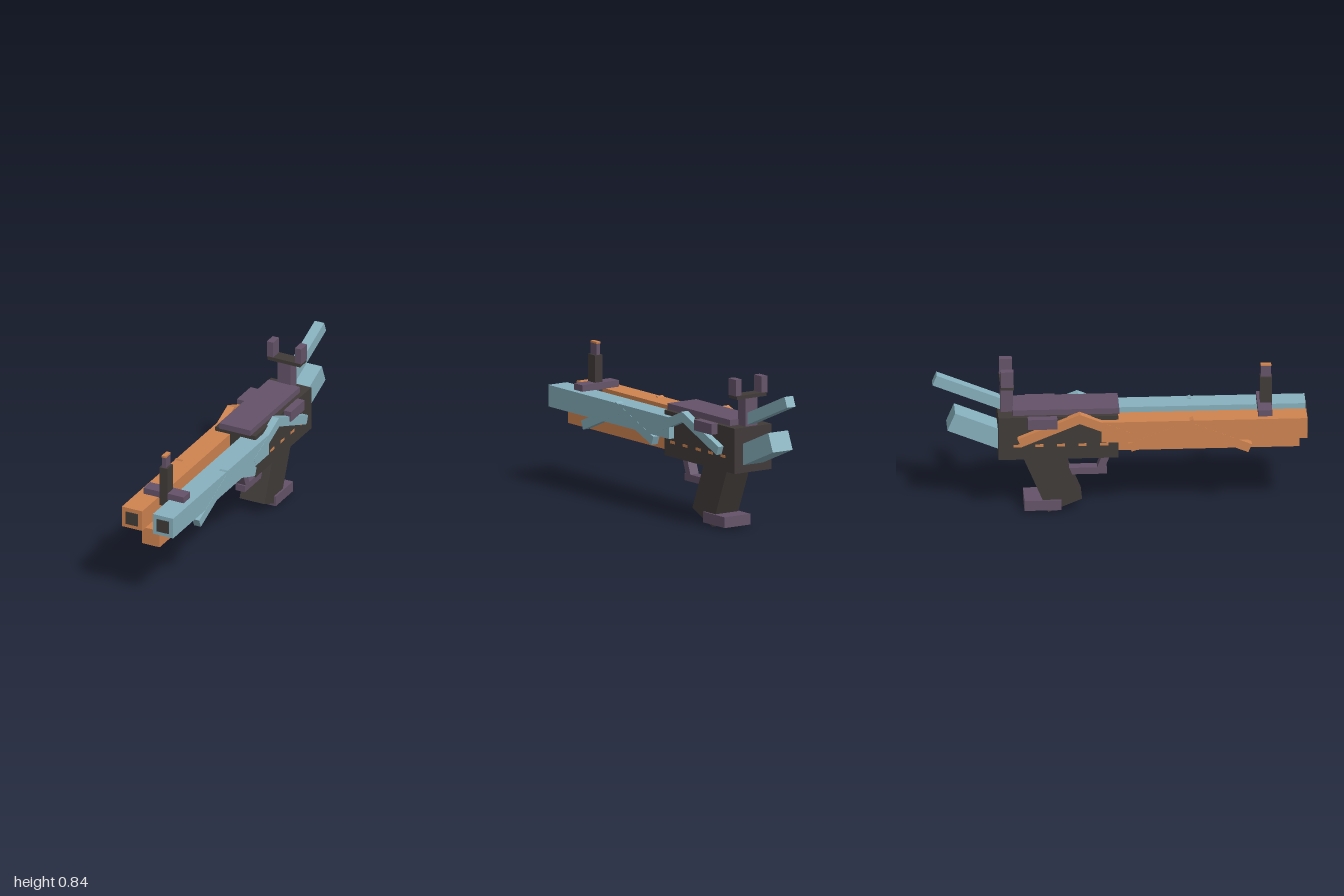
import * as THREE from 'three';

const mat = (name, color) => {
  const m = new THREE.MeshStandardMaterial({ color });
  m.name = name;
  return m;
};

export function createModel() {
  const model = new THREE.Group();
  model.name = 'twinBarrelBlaster';
  const dark = mat('charcoal', 0x403b39);
  const purple = mat('dusty purple', 0x655369);
  const orange = mat('copper orange', 0xcf8450);
  const teal = mat('pale teal', 0x87b1be);

  // Axis-aligned box given by its limits
  const box = (name, m, x0, x1, y0, y1, z0, z1) => {
    const mesh = new THREE.Mesh(new THREE.BoxGeometry(Math.abs(x1 - x0), y1 - y0, z1 - z0), m);
    mesh.position.set((x0 + x1) / 2, (y0 + y1) / 2, (z0 + z1) / 2);
    mesh.name = name;
    model.add(mesh);
  };

  // Slanted bar between two [z, y] points, centred on x
  const bar = (name, m, x, width, thick, [za, ya], [zb, yb]) => {
    const length = Math.hypot(zb - za, yb - ya);
    const mesh = new THREE.Mesh(new THREE.BoxGeometry(width, thick, length), m);
    mesh.position.set(x, (ya + yb) / 2, (za + zb) / 2);
    mesh.rotation.x = -Math.atan2(yb - ya, zb - za);
    mesh.name = name;
    model.add(mesh);
  };

  // Receiver and its top cover
  box('receiver', dark, -0.121, 0.121, 0.34, 0.585, -0.648, -0.01);
  box('topCover', purple, -0.094, 0.094, 0.584, 0.617, -0.57, -0.003);

  // Lower tube under the barrels
  box('lowerTube', orange, -0.053, 0.053, 0.35, 0.447, -0.02, 0.957);

  // Parts on each side: orange on the right, teal on the left
  for (const [s, m] of [[-1, orange], [1, teal]]) {
    box('barrel', m, s * 0.032, s * 0.154, 0.445, 0.562, -0.1, 0.995);
    box('muzzle', dark, s * 0.056, s * 0.13, 0.467, 0.539, 0.993, 1.0);
    box('sideBlock', purple, s * 0.118, s * 0.162, 0.532, 0.59, -0.493, -0.336);

    // Zigzag bolt along the flank
    const zigzag = [
      [[0.69, 0.393], [0.345, 0.536]],
      [[0.395, 0.546], [0.051, 0.411]],
      [[0.06, 0.47], [-0.2235, 0.587]],
      [[-0.2045, 0.589], [-0.538, 0.451]],
    ];
    for (const [a, b] of zigzag) bar('zigzag', m, s * 0.1345, 0.041, 0.05, a, b);

    // Small vents in the receiver flank
    for (let i = 0; i < 5; i++) {
      const z = -0.085 - i * 0.115;
      box('vent', orange, s * 0.12, s * 0.1225, 0.413, 0.428, z - 0.022, z + 0.022);
    }
  }

  // Grip, foot and trigger guard
  bar('grip', dark, 0, 0.15, 0.195, [-0.29, 0.043], [-0.43, 0.381]);
  box('gripFoot', purple, -0.085, 0.085, 0.02, 0.078, -0.507, -0.31);
  bar('guardFront', purple, 0, 0.055, 0.04, [-0.05, 0.362], [-0.1, 0.23]);
  box('guardBottom', purple, -0.0275, 0.0275, 0.202, 0.24, -0.28, -0.066);

  // Tail struts
  bar('upperTail', teal, 0, 0.056, 0.06, [-0.6, 0.613], [-0.983, 0.772]);
  bar('lowerTail', teal, 0, 0.13, 0.108, [-0.54, 0.395], [-0.896, 0.543]);

  // Front sight
  box('frontSightBase', purple, -0.12, 0.12, 0.56, 0.597, 0.735, 0.81);
  box('frontSightPost', dark, -0.024, 0.024, 0.52, 0.745, 0.75, 0.814);
  box('frontSightPin', purple, -0.012, 0.012, 0.744, 0.806, 0.755, 0.809);
  box('frontSightTip', orange, -0.0125, 0.0125, 0.806, 0.816, 0.754, 0.81);

  // Rear sight
  box('rearSightPost', purple, -0.04, 0.04, 0.583, 0.738, -0.634, -0.566);
  box('rearSightBar', dark, -0.097, 0.097, 0.737, 0.757, -0.636, -0.564);
  for (const s of [-1, 1]) {
    box('rearSightProng', purple, s * 0.065, s * 0.103, 0.755, 0.845, -0.634, -0.566);
  }

  return model;
}
